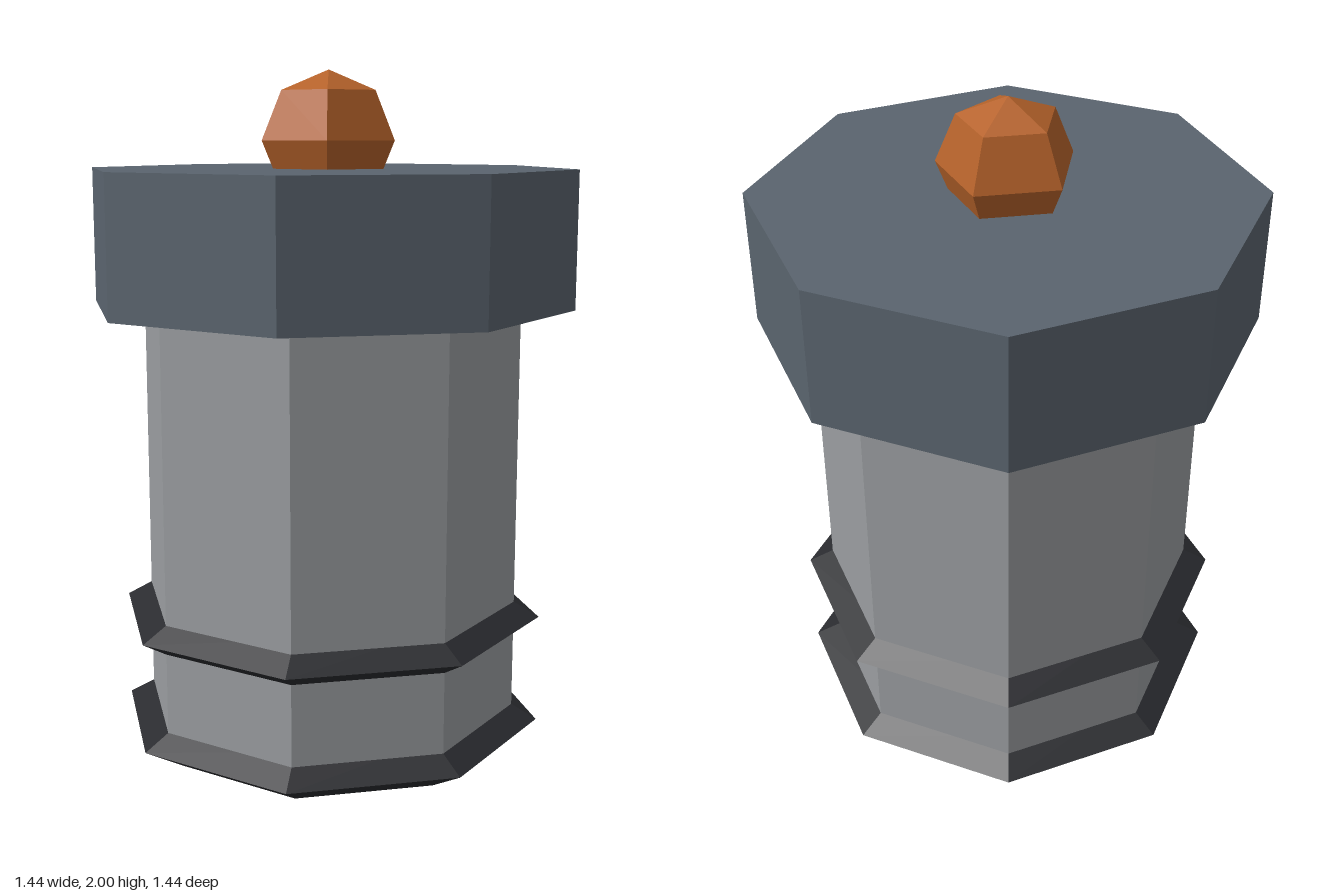
import * as THREE from 'three';

export function createModel() {
  const model = new THREE.Group();
  const SIDES = 8;

  const add = (name, geometry, color, y) => {
    const material = new THREE.MeshStandardMaterial({ color, flatShading: true });
    const mesh = new THREE.Mesh(geometry, material);
    mesh.name = name;
    mesh.position.y = y;
    model.add(mesh);
    return mesh;
  };

  // Octagonal prism between two heights
  const prism = (name, radius, y0, y1, color) =>
    add(name, new THREE.CylinderGeometry(radius, radius, y1 - y0, SIDES), color, (y0 + y1) / 2);

  prism('body', 0.565, 0.1, 1.34, 0x9a9da0);
  prism('cap', 0.72, 1.32, 1.72, 0x5a646e);

  // Rings with a triangular section, pointing outwards
  const ring = new THREE.TorusGeometry(0.56, 0.08, 3, SIDES).rotateX(Math.PI / 2);
  add('baseRing', ring, 0x2a2b2f, 0.07);
  add('bodyRing', ring, 0x2a2b2f, 0.395);

  // Five-sided knob with one corner towards the back
  add('knob', new THREE.SphereGeometry(0.2, 5, 4, -Math.PI / 2), 0xb5622a, 1.8);

  return model;
}
